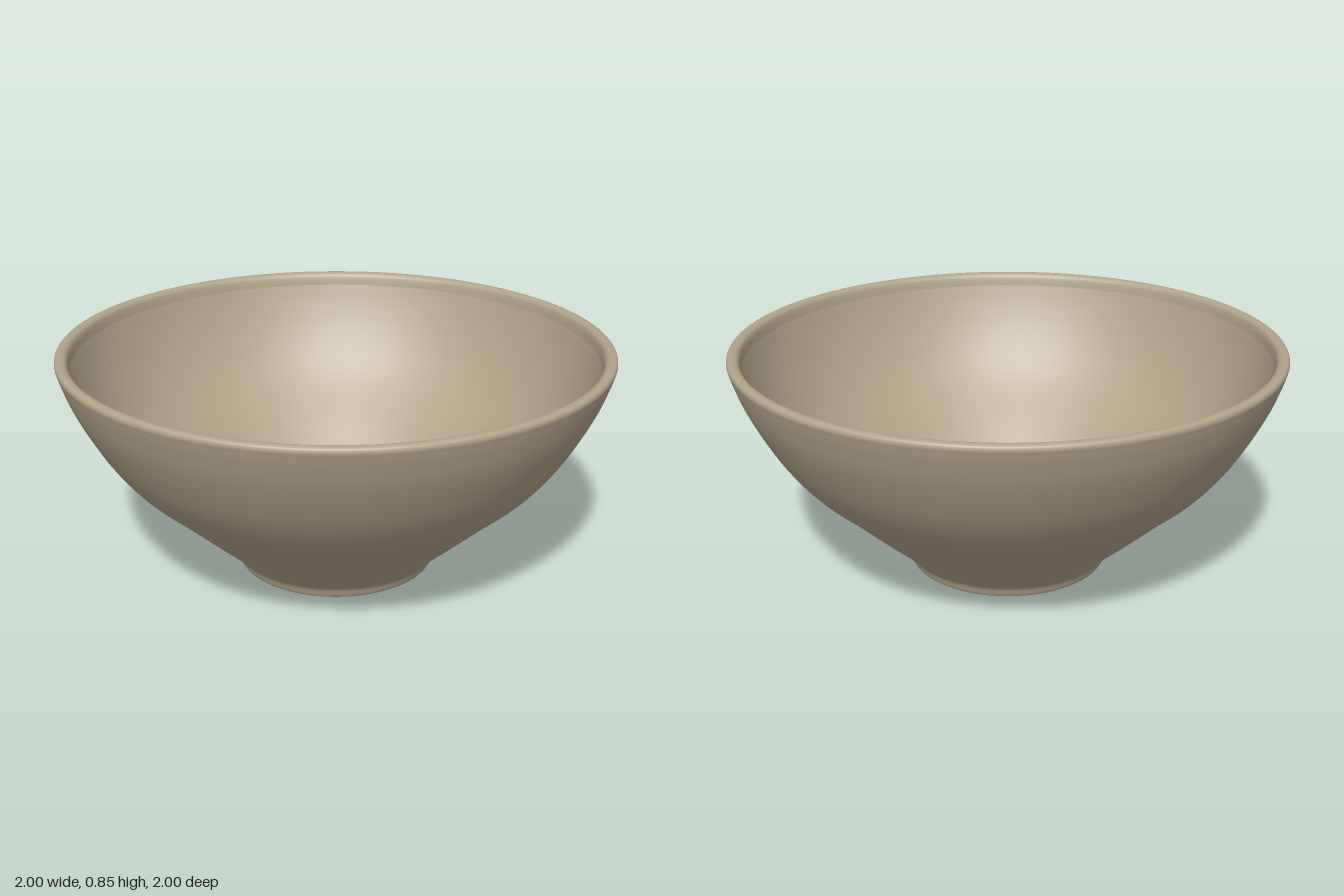
import * as THREE from 'three';

const SEGMENTS = 128;

// Smooth revolved surface through a few [radius, height] points
function revolve(name, points, samples, material) {
  const curve = new THREE.SplineCurve(points.map(([r, y]) => new THREE.Vector2(r, y)));
  const profile = curve.getPoints(samples);
  profile.forEach((p) => { p.x = Math.max(p.x, 0); });
  const mesh = new THREE.Mesh(new THREE.LatheGeometry(profile, SEGMENTS), material);
  mesh.name = name;
  return mesh;
}

export function createModel() {
  const clay = new THREE.MeshStandardMaterial({ color: 0xb0a38a });
  clay.name = 'beige clay';

  const bowl = new THREE.Group();
  bowl.name = 'bowl';

  // Flat underside, recessed within the foot
  bowl.add(revolve('underside', [[0, 0.05], [0.15, 0.05], [0.295, 0.05]], 4, clay));

  // Foot ring: sloping inner side, rounded bottom, flared outer side
  bowl.add(revolve('footRing', [
    [0.295, 0.05], [0.308, 0.022], [0.322, 0.004], [0.345, 0], [0.365, 0.003],
    [0.373, 0.014], [0.382, 0.038], [0.4, 0.06], [0.44, 0.1],
  ], 40, clay));

  // Outer wall
  bowl.add(revolve('outerWall', [
    [0.44, 0.1], [0.55, 0.2], [0.66, 0.303], [0.765, 0.4], [0.845, 0.5],
    [0.905, 0.6], [0.955, 0.7], [0.985, 0.78], [0.997, 0.82],
  ], 48, clay));

  // Rounded rim
  bowl.add(revolve('rim', [
    [0.997, 0.82], [1, 0.833], [0.996, 0.845], [0.984, 0.85], [0.97, 0.848],
    [0.959, 0.84], [0.953, 0.825], [0.948, 0.8],
  ], 32, clay));

  // Inner wall
  bowl.add(revolve('innerWall', [
    [0.948, 0.8], [0.92, 0.72], [0.875, 0.62], [0.815, 0.52], [0.735, 0.425],
    [0.6, 0.3], [0.48, 0.19], [0.4, 0.125], [0.36, 0.1], [0.335, 0.09],
  ], 48, clay));

  // Slightly raised floor with a softened edge
  bowl.add(revolve('floor', [
    [0.335, 0.09], [0.341, 0.1], [0.335, 0.109], [0.31, 0.118], [0.26, 0.124],
    [0.15, 0.126], [0, 0.126],
  ], 32, clay));

  return bowl;
}
